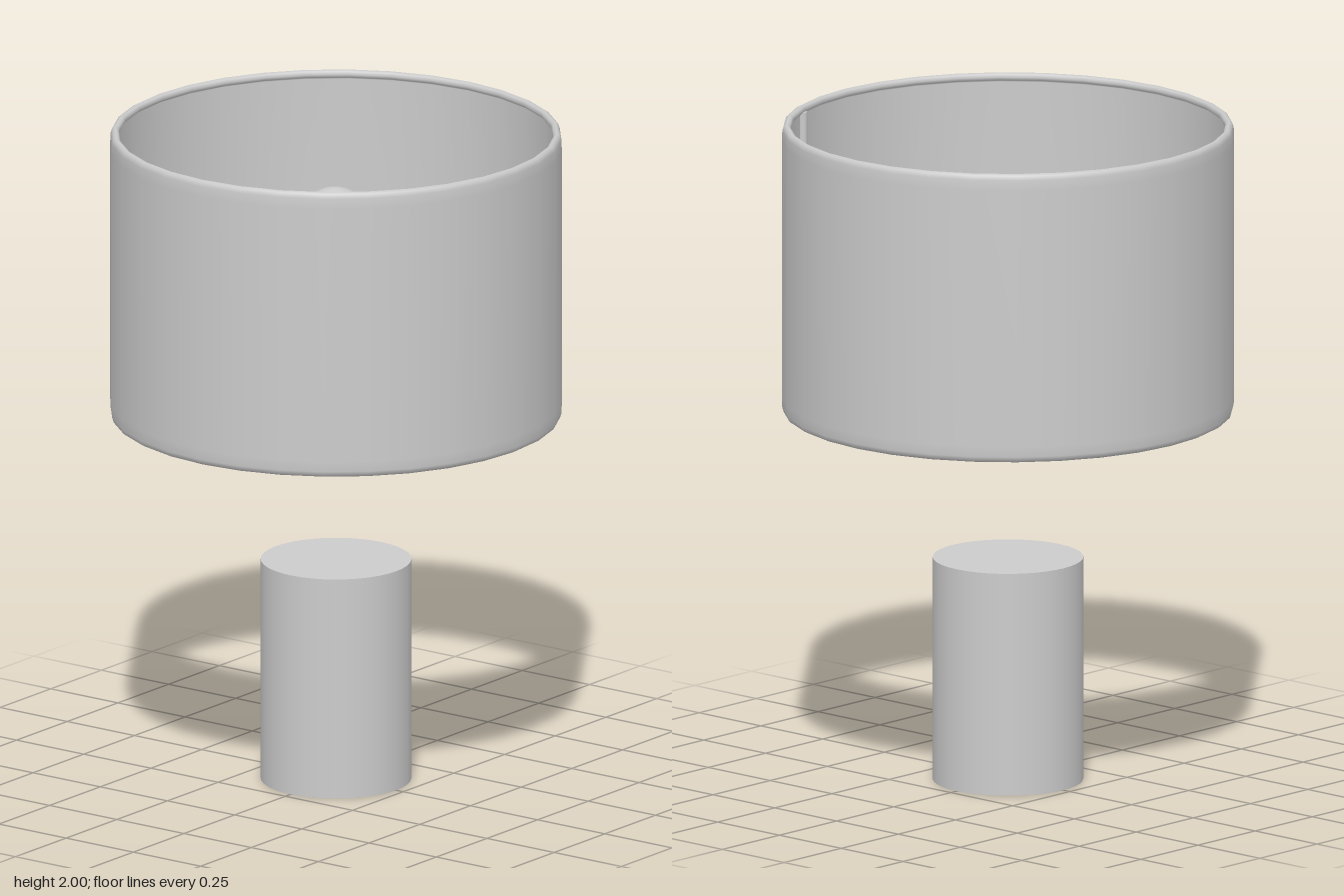
import * as THREE from 'three';

const grey = new THREE.MeshStandardMaterial({ color: 0xcccccc });
grey.name = 'light grey';

const lathe = (points, segments) =>
  new THREE.LatheGeometry(points.map(([r, y]) => new THREE.Vector2(r, y)), segments);

export function createModel() {
  const group = new THREE.Group();
  const add = (name, geometry, x = 0, y = 0, z = 0) => {
    const mesh = new THREE.Mesh(geometry, grey);
    mesh.name = name;
    mesh.position.set(x, y, z);
    group.add(mesh);
    return mesh;
  };

  // Solid cylindrical foot
  add('base', new THREE.CylinderGeometry(0.224, 0.224, 0.677, 40), 0, 0.3385, 0);

  // Open drum shade: closed wall profile with rolled rims, up the outside and down the inside
  const bottom = 1.12, top = 2;
  add('shade', lathe([
    [0.658, bottom], [0.667, bottom + 0.005], [0.671, bottom + 0.018], [0.672, bottom + 0.05],
    [0.672, top - 0.05], [0.671, top - 0.018], [0.667, top - 0.005], [0.658, top],
    [0.649, top - 0.004], [0.645, top - 0.013], [0.649, top - 0.022], [0.657, top - 0.028],
    [0.657, bottom + 0.028], [0.649, bottom + 0.022], [0.645, bottom + 0.013],
    [0.649, bottom + 0.004], [0.658, bottom],
  ], 32));

  // Vertical seam rod on the inner wall, between the two rims
  const angle = THREE.MathUtils.degToRad(22), reach = 0.652;
  add('seamRod', new THREE.CylinderGeometry(0.014, 0.014, 0.84, 12),
    reach * Math.sin(angle), 1.56, reach * Math.cos(angle));

  // Light bulb: small contact, narrow neck, round globe
  const globe = [];
  for (let i = 0; i <= 14; i++) {
    const a = THREE.MathUtils.lerp(-0.75, Math.PI / 2, i / 14);
    globe.push([Math.max(0, 0.113 * Math.cos(a)), 1.71 + 0.113 * Math.sin(a)]);
  }
  add('bulb', lathe([
    [0, 1.475], [0.025, 1.478], [0.045, 1.49], [0.055, 1.505], [0.057, 1.56], [0.066, 1.6], ...globe,
  ], 32), 0, 0, -0.005);

  return group;
}
